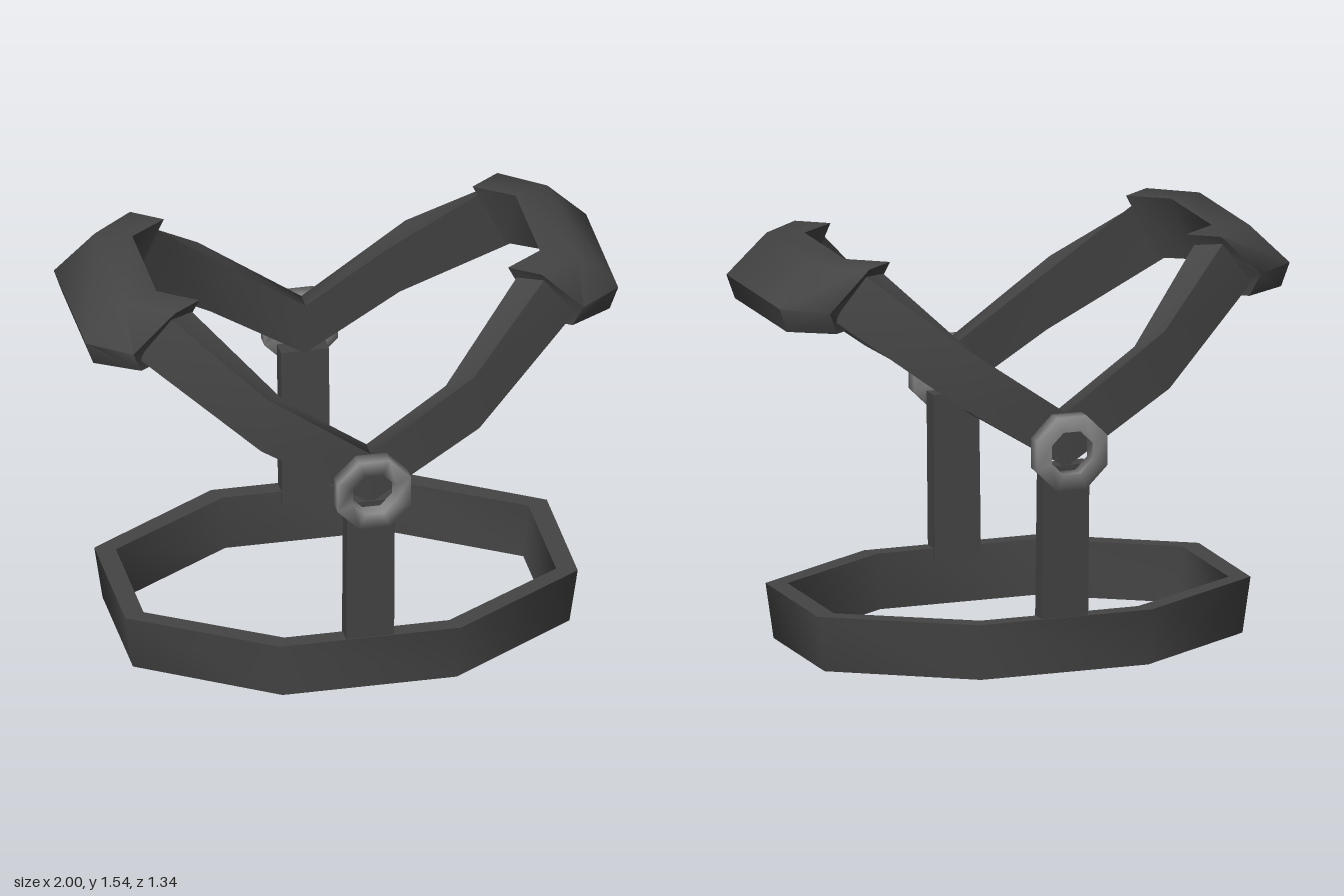
import * as THREE from 'three';
import { toCreasedNormals } from 'three/addons/utils/BufferGeometryUtils.js';

const strapMaterial = new THREE.MeshStandardMaterial({ color: 0x444444 });
const ringMaterial = new THREE.MeshStandardMaterial({ color: 0x858585 });

// Skin a row of equal-length cross-sections; closed joins the last to the first.
function loft(sections, closed = false) {
  const tris = [];
  const n = sections[0].length;
  const count = closed ? sections.length : sections.length - 1;
  for (let i = 0; i < count; i++) {
    const a = sections[i], b = sections[(i + 1) % sections.length];
    for (let j = 0; j < n; j++) {
      const k = (j + 1) % n;
      tris.push([a[j], b[j], b[k]], [a[j], b[k], a[k]]);
    }
  }
  if (!closed) {
    const first = sections[0], last = sections[sections.length - 1];
    for (let j = 1; j < n - 1; j++) {
      tris.push([first[0], first[j], first[j + 1]], [last[0], last[j + 1], last[j]]);
    }
  }
  // Turn every face outward by the sign of the enclosed volume
  let volume = 0;
  for (const [a, b, c] of tris) {
    volume += new THREE.Vector3(...a).dot(new THREE.Vector3(...b).cross(new THREE.Vector3(...c)));
  }
  if (volume < 0) tris.forEach((t) => t.reverse());
  const geometry = new THREE.BufferGeometry();
  geometry.setAttribute('position', new THREE.Float32BufferAttribute(tris.flat(2), 3));
  return toCreasedNormals(geometry, THREE.MathUtils.degToRad(58));
}

const mirror = (sections, sx, sz) =>
  sections.map((s) => s.map(([x, y, z]) => [x * sx, y, z * sz]));

export function createModel() {
  const group = new THREE.Group();
  const add = (name, geometry, material = strapMaterial) => {
    const mesh = new THREE.Mesh(geometry, material);
    mesh.name = name;
    group.add(mesh);
    return mesh;
  };

  // Base band: an eight-sided loop, slightly wider at the top
  const corner = (x, z) => [
    [x * 0.82, 0, z * 0.59], [x * 0.85, 0.21, z * 0.6],
    [x * 0.775, 0.21, z * 0.535], [x * 0.755, 0, z * 0.53],
  ];
  const quarter = [[1, 0.45], [0.4, 1]];
  const outline = [
    ...quarter,
    ...quarter.map(([x, z]) => [-x, z]).reverse(),
    ...quarter.map(([x, z]) => [-x, -z]),
    ...quarter.map(([x, z]) => [x, -z]).reverse(),
  ];
  add('baseBand', loft(outline.map(([x, z]) => corner(x, z)), true));

  // Upright strap: lower and upper end
  const upright = [[0.16, 0.52, 0.595], [0.79, 0.54, 0.61]].map(([y, zIn, zOut]) => [
    [-0.09, y, zOut], [0.09, y, zOut], [0.09, y, zIn], [-0.09, y, zIn],
  ]);

  // Diagonal strap: centre, bend and wing end (outer top, outer bottom, inner bottom, inner top)
  const diagonal = [
    [[0, 0.985, 0.605], [0, 0.78, 0.605], [0, 0.78, 0.54], [0, 0.985, 0.53]],
    [[0.39, 1.26, 0.6], [0.41, 1.04, 0.595], [0.355, 1.0, 0.535], [0.3, 1.19, 0.52]],
    [[0.7, 1.51, 0.38], [0.82, 1.35, 0.36], [0.74, 1.31, 0.28], [0.61, 1.5, 0.32]],
  ];

  // Padded side wing: end and corner section, mirrored to the back
  const wingHalf = [
    [[0.845, 1.385, 0.39], [0.69, 1.54, 0.39], [0.58, 1.54, 0.31],
      [0.7, 1.3, 0.29], [0.81, 1.3, 0.365]],
    [[1, 1.39, 0.28], [0.85, 1.54, 0.26], [0.72, 1.54, 0.21],
      [0.81, 1.3, 0.22], [0.97, 1.3, 0.27]],
  ];
  const wing = [...wingHalf, ...mirror(wingHalf, 1, -1).reverse()];

  // Eight-sided ring with a square section
  const apothem = Math.cos(Math.PI / 8);
  const [inner, outer] = [0.08 / apothem, 0.138 / apothem];
  const ringProfile = [
    [inner, -0.03], [outer, -0.03], [outer, 0.03], [inner, 0.03], [inner, -0.03],
  ].map(([r, y]) => new THREE.Vector2(r, y));
  const ringGeometry = new THREE.LatheGeometry(ringProfile, 8, Math.PI / 8);
  ringGeometry.rotateX(Math.PI / 2);

  for (const [end, sz] of [['front', 1], ['back', -1]]) {
    add(`${end}Upright`, loft(mirror(upright, 1, sz)));
    add(`${end}Ring`, ringGeometry, ringMaterial).position.set(0, 0.848, sz * 0.638);
    for (const [side, sx] of [['Left', 1], ['Right', -1]]) {
      add(`${end}${side}Strap`, loft(mirror(diagonal, sx, sz)));
    }
  }
  add('leftWing', loft(wing));
  add('rightWing', loft(mirror(wing, -1, 1)));

  return group;
}
